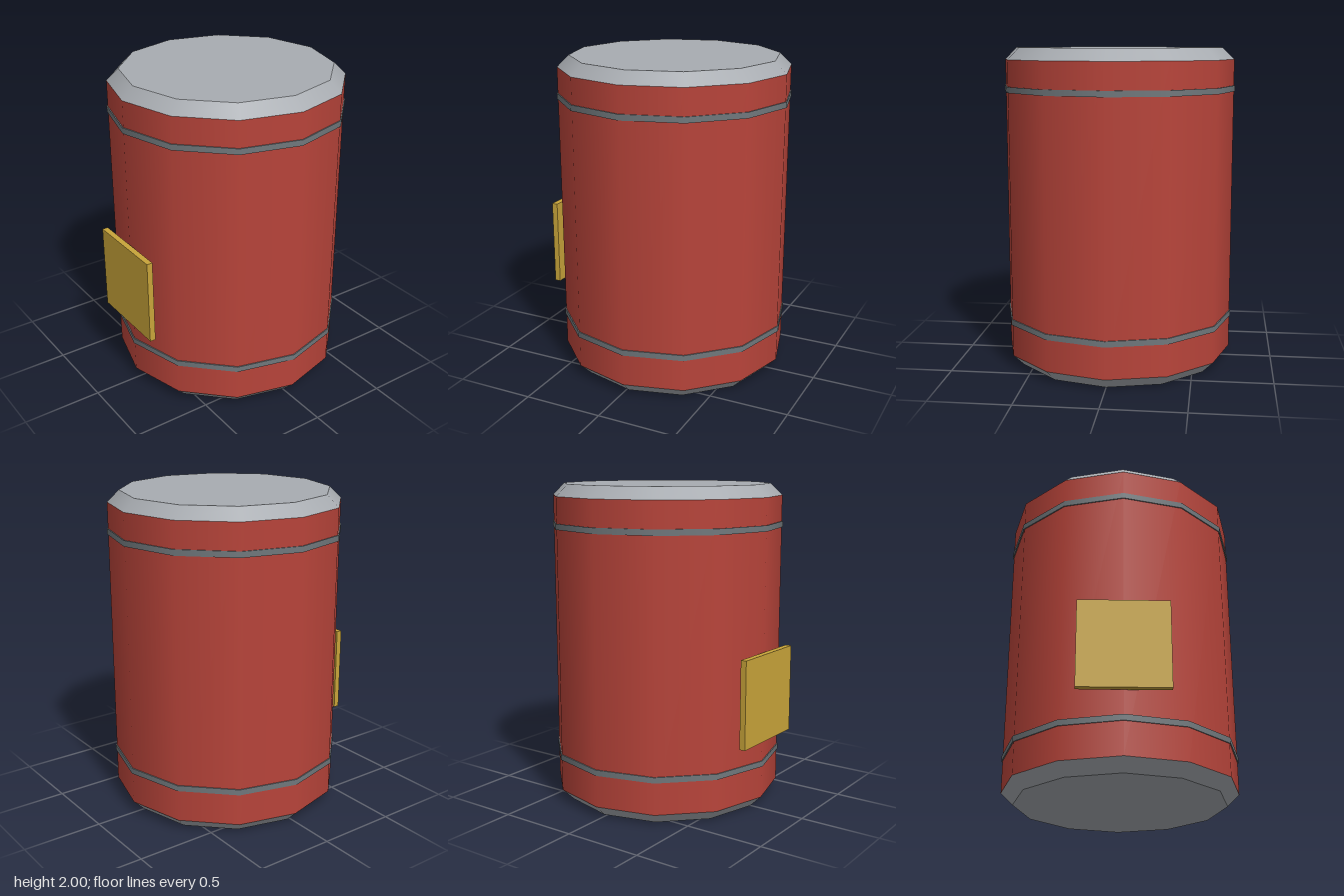
import * as THREE from 'three';

const SIDES = 12;
const CENTER_Z = -0.017;

export function createModel() {
  const mat = (name, color) => {
    const m = new THREE.MeshStandardMaterial({ color });
    m.name = name;
    return m;
  };
  const red = mat('red paint', 0xb8443a);
  const steel = mat('light steel', 0xa8acb1);
  const darkSteel = mat('dark steel', 0x70787c);
  const yellow = mat('yellow label', 0xc8a43a);

  const model = new THREE.Group();
  model.name = 'barrel';

  // Adds a twelve-sided ring or drum section between two heights
  const section = (name, rBottom, rTop, y0, y1, material, open = false) => {
    const geo = new THREE.CylinderGeometry(rTop, rBottom, y1 - y0, SIDES, 1, open);
    const mesh = new THREE.Mesh(geo, material);
    mesh.name = name;
    mesh.position.set(0, (y0 + y1) / 2, CENTER_Z);
    model.add(mesh);
  };

  // Drum wall and bevelled ends
  section('body', 0.727, 0.727, 0.073, 1.927, red, true);
  section('bottomCap', 0.653, 0.727, 0, 0.073, steel);
  section('topCap', 0.727, 0.653, 1.927, 2, steel);

  // Raised hoops
  section('lowerHoop', 0.734, 0.734, 0.275, 0.311, darkSteel);
  section('upperHoop', 0.734, 0.734, 1.729, 1.765, darkSteel);

  // Label plate on the front
  const label = new THREE.Mesh(new THREE.BoxGeometry(0.545, 0.545, 0.037), yellow);
  label.name = 'labelPlate';
  label.position.set(0, 0.728, 0.7315);
  model.add(label);

  return model;
}
